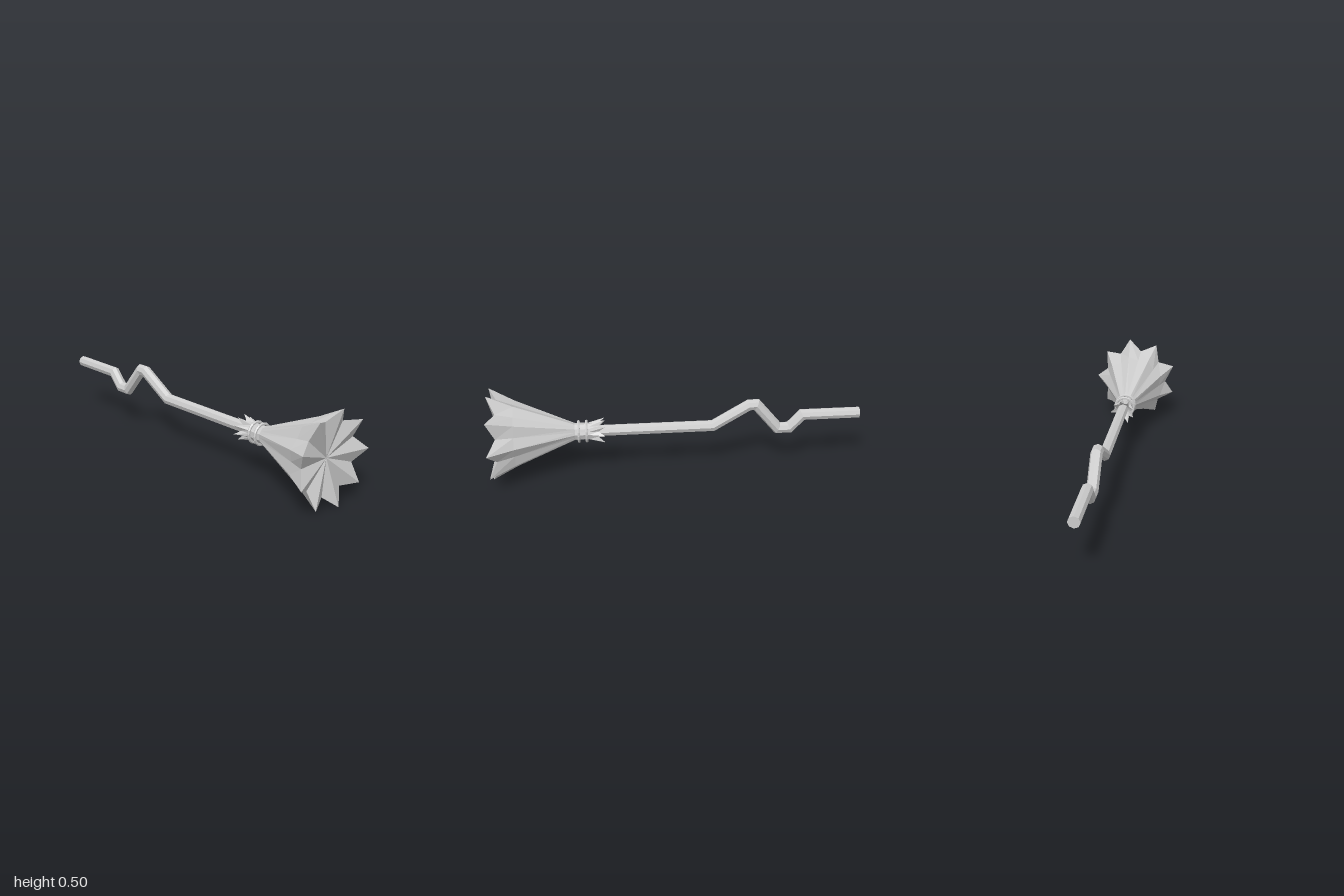
import * as THREE from 'three';

const AXIS_Y = 0.254, AXIS_Z = 0.006, POINTS = 9;

// Skin a list of rings (equal-length arrays of Vector3, running towards +x)
function loft(rings, material) {
  const pos = [];
  const n = rings[0].length;
  const tri = (a, b, c) => { for (const p of [a, b, c]) pos.push(p.x, p.y, p.z); };
  for (let i = 0; i < rings.length - 1; i++) {
    for (let j = 0; j < n; j++) {
      const k = (j + 1) % n;
      const a = rings[i][j], b = rings[i][k], c = rings[i + 1][j], d = rings[i + 1][k];
      tri(a, b, c);
      tri(b, d, c);
    }
  }
  const geo = new THREE.BufferGeometry();
  geo.setAttribute('position', new THREE.Float32BufferAttribute(pos, 3));
  geo.computeVertexNormals();
  return new THREE.Mesh(geo, material);
}

// Star ring: points and notches each have their own x and radius
function starRing([xPoint, rPoint, xNotch, rNotch]) {
  return Array.from({ length: POINTS * 2 }, (_, i) => {
    const a = (i * Math.PI) / POINTS;
    const r = i % 2 ? rNotch : rPoint;
    return new THREE.Vector3(i % 2 ? xNotch : xPoint,
      AXIS_Y + 1.02 * r * Math.sin(a), AXIS_Z - r * Math.cos(a));
  });
}

// Mitred eight-sided stick along a bent path in the xy plane
function buildHandle(material) {
  const path = [[-1, 0.3], [-0.685, 0.3], [-0.617, 0.226], [-0.552, 0.226],
    [-0.43, 0.372], [-0.39, 0.372], [-0.195, 0.256], [0.5, 0.256]]
    .map(([x, y]) => new THREE.Vector2(x, y));
  const sides = 8, radius = 0.031;
  const rings = path.map((p, i) => {
    const before = p.clone().sub(path[Math.max(i - 1, 0)]).normalize();
    const after = path[Math.min(i + 1, path.length - 1)].clone().sub(p).normalize();
    const dir = before.clone().add(after).normalize();
    const stretch = 1 / dir.dot(i ? before : after);
    return Array.from({ length: sides }, (_, j) => {
      const a = (j / sides) * Math.PI * 2;
      const up = radius * stretch * Math.sin(a);
      return new THREE.Vector3(p.x - dir.y * up, p.y + dir.x * up,
        AXIS_Z / 2 - radius * Math.cos(a));
    });
  });
  // Close both ends
  const cap = (p) => Array.from({ length: sides }, () => new THREE.Vector3(p.x, p.y, AXIS_Z / 2));
  return loft([cap(path[0]), ...rings, cap(path[path.length - 1])], material);
}

export function createModel() {
  const model = new THREE.Group();
  model.name = 'broom';
  const solid = new THREE.MeshStandardMaterial({ color: 0xcccccc, flatShading: true });
  const thin = new THREE.MeshStandardMaterial({
    color: 0xcccccc, flatShading: true, side: THREE.DoubleSide });

  const handle = buildHandle(solid);
  handle.name = 'handle';
  model.add(handle);

  // Bristles: jagged collar, tied waist, flared skirt and jagged, closed end
  const bristles = loft([
    [0.45, 0.025, 0.45, 0.025],
    [0.39, 0.068, 0.425, 0.043],
    [0.475, 0.046, 0.475, 0.043],
    [0.55, 0.046, 0.55, 0.043],
    [0.865, 0.178, 0.865, 0.158],
    [1, 0.248, 0.955, 0.189],
    [0.945, 0, 0.945, 0],
  ].map(starRing), thin);
  bristles.name = 'bristles';
  model.add(bristles);

  // Two cords around the waist
  for (const x of [0.488, 0.53]) {
    const cord = new THREE.Mesh(new THREE.TorusGeometry(0.054, 0.008, 6, 18), solid);
    cord.name = 'bindingCord';
    cord.rotation.y = Math.PI / 2;
    cord.position.set(x, AXIS_Y, AXIS_Z);
    model.add(cord);
  }
  return model;
}
